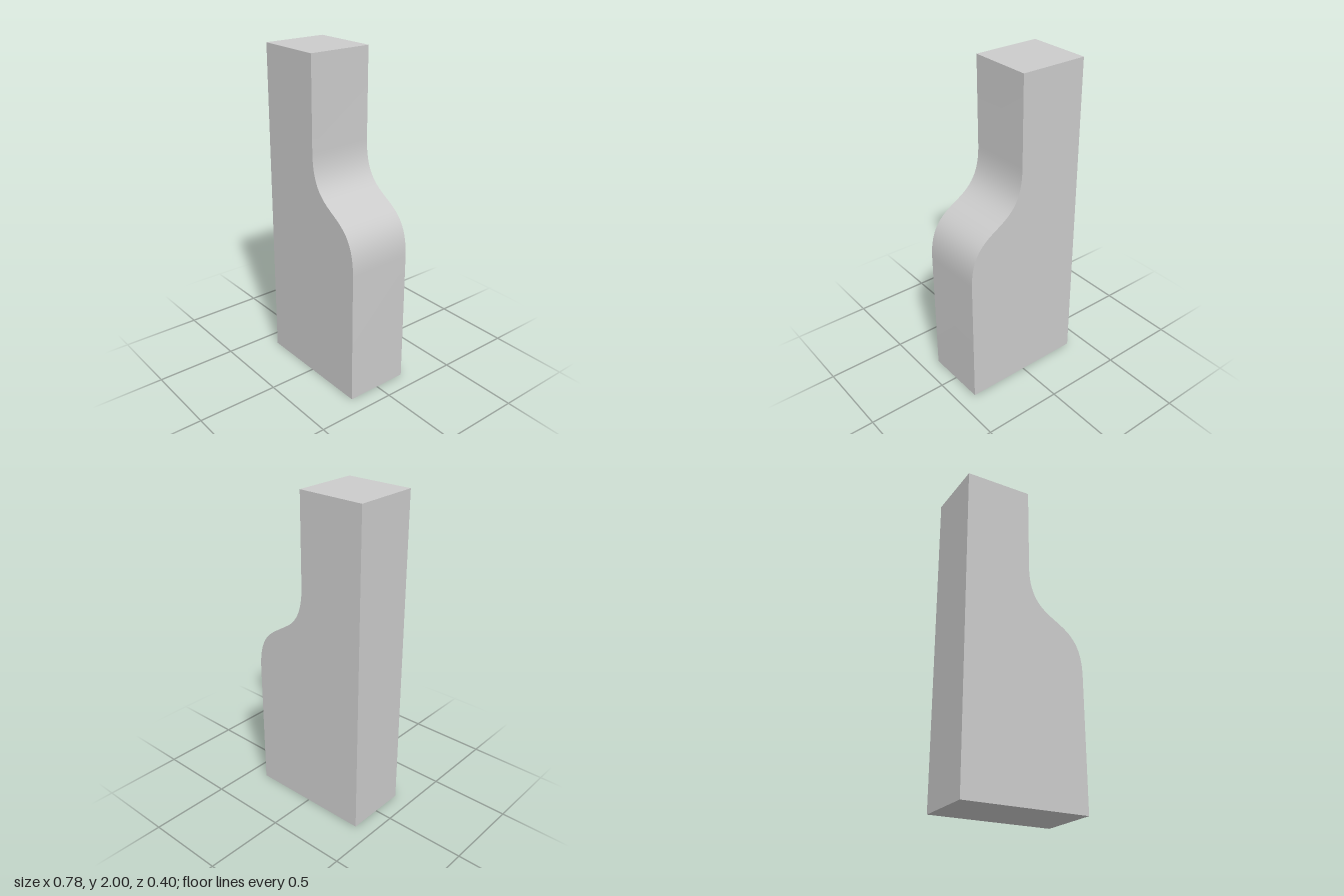
import * as THREE from 'three';
import { toCreasedNormals } from 'three/addons/utils/BufferGeometryUtils.js';

export function createModel() {
  const group = new THREE.Group();
  group.name = 'steppedBlock';
  const depth = 0.4;

  // Side profile: wide base, S-shaped shoulder, narrow neck
  const profile = new THREE.Shape();
  profile.moveTo(-0.39, 0);
  profile.lineTo(0.39, 0);
  profile.lineTo(0.39, 0.82);
  profile.bezierCurveTo(0.39, 1.244, 0.03, 1.036, 0.03, 1.46);
  profile.lineTo(0.03, 2);
  profile.lineTo(-0.39, 2);
  profile.closePath();

  // Straight extrusion, smooth over the shoulder and sharp at the corners
  const geometry = new THREE.ExtrudeGeometry(profile, { depth, bevelEnabled: false, curveSegments: 40 });
  geometry.translate(0, 0, -depth / 2);

  const body = new THREE.Mesh(
    toCreasedNormals(geometry, Math.PI / 6),
    new THREE.MeshStandardMaterial({ color: 0xcccccc })
  );
  body.name = 'body';
  group.add(body);
  return group;
}
